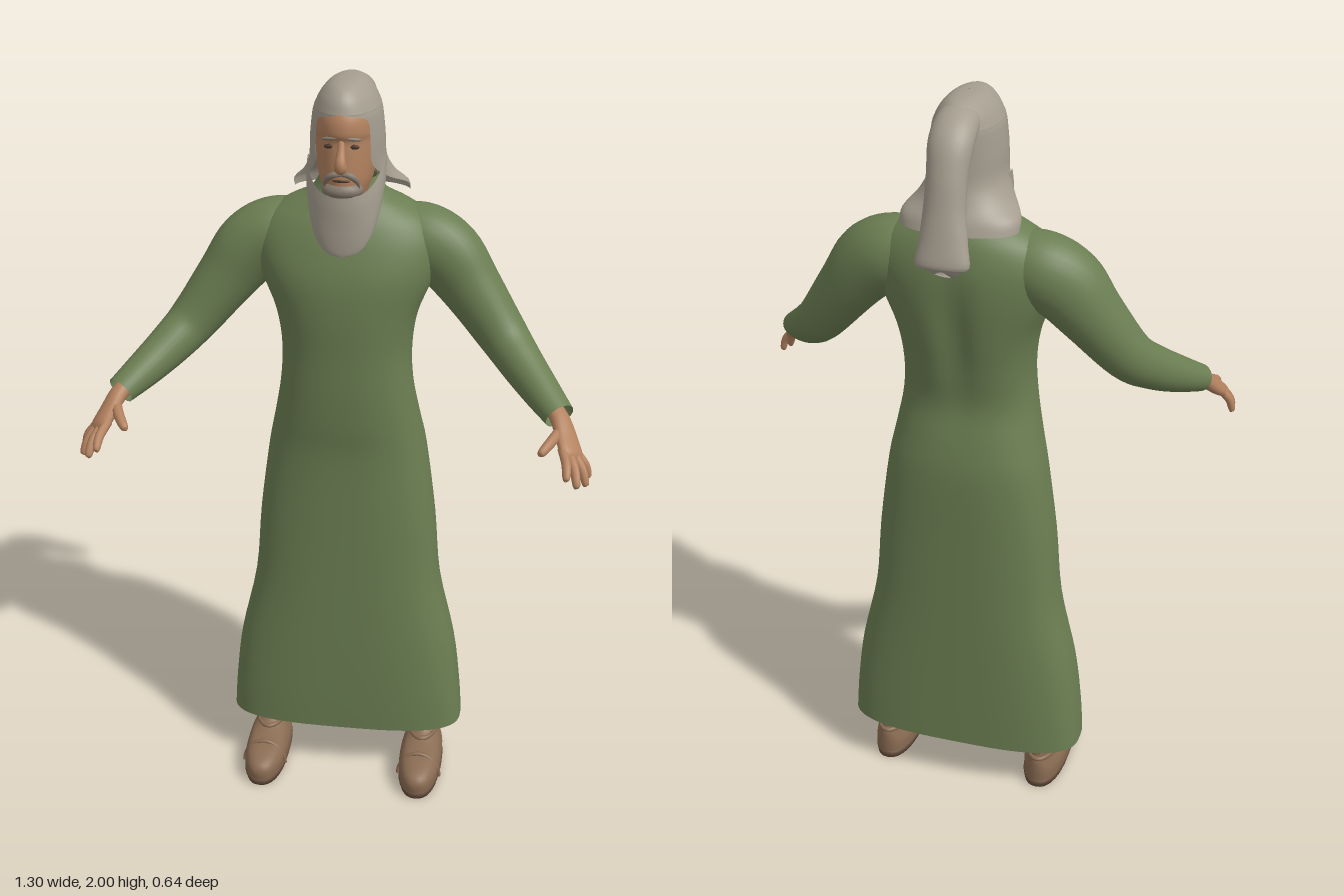
import * as THREE from 'three';

const V = (x, y, z) => new THREE.Vector3(x, y, z);
const paint = (name, color, side = THREE.FrontSide) => {
  const m = new THREE.MeshStandardMaterial({ color, side });
  m.name = name;
  return m;
};

// Smoothly subdivide a list of equal-length number rows (Catmull-Rom)
function smooth(rows, sub) {
  const out = [], last = rows.length - 1;
  for (let i = 0; i < last; i++) {
    const [a, b, c, d] = [rows[Math.max(i - 1, 0)], rows[i], rows[i + 1], rows[Math.min(i + 2, last)]];
    for (let k = 0; k < sub; k++) {
      const t = k / sub;
      out.push(b.map((v, q) => v + 0.5 * t * (c[q] - a[q]
        + t * (2 * a[q] - 5 * v + 4 * c[q] - d[q] + t * (3 * (v - c[q]) + d[q] - a[q])))));
    }
  }
  out.push(rows[last]);
  return out;
}

// Skin a list of point rings
function skinRings(rings, closed) {
  const n = rings[0].length, pos = [], index = [];
  rings.forEach((r) => r.forEach((p) => pos.push(p.x, p.y, p.z)));
  for (let i = 0; i < rings.length - 1; i++) {
    for (let j = 0; j < (closed ? n : n - 1); j++) {
      const a = i * n + j, b = i * n + (j + 1) % n, c = a + n, d = b + n;
      index.push(a, b, c, b, d, c);
    }
  }
  const g = new THREE.BufferGeometry();
  g.setAttribute('position', new THREE.Float32BufferAttribute(pos, 3));
  g.setIndex(index);
  g.computeVertexNormals();
  return g;
}

// Horizontal rings, rising: [y, half width, front z, back z, exponent, half arc]
function loft(rows, { n = 48, sub = 4, mid = 0, tweak = null } = {}) {
  const full = rows.map(([y, rx, zf, zb, e = 2, w = Math.PI]) => [y, rx, zf, zb, e, w]);
  const closed = full.every((r) => r[5] === Math.PI);
  const bend = (v, e) => Math.sign(v) * Math.abs(v) ** (2 / e);
  const rings = smooth(full, sub).map(([y, rx, zf, zb, e, w]) => {
    const ring = [];
    for (let j = 0; j < (closed ? n : n + 1); j++) {
      const a = mid - w + (2 * w * j) / n;
      const p = V(rx * bend(Math.sin(a), e), y, (zf + zb) / 2 + ((zf - zb) / 2) * bend(Math.cos(a), e));
      if (tweak) tweak(p);
      ring.push(p);
    }
    return ring;
  });
  return skinRings(rings, closed);
}

// Oval tube along a path: [x, y, z, radius across, radius along up]
function sweep(path, up, { n = 16, sub = 5, s = 1 } = {}) {
  const rows = smooth(path.map(([x, y, z, a, b = a]) => [x * s, y, z, a, b]), sub);
  const at = (i) => V(...rows[Math.min(Math.max(i, 0), rows.length - 1)].slice(0, 3));
  const rings = rows.map(([x, y, z, a, b], i) => {
    const t = at(i + 1).sub(at(i - 1)).normalize();
    const side = V(up.x * s, up.y, up.z).cross(t).normalize();
    const lift = t.clone().cross(side);
    return Array.from({ length: n }, (_, j) => {
      const q = (j / n) * Math.PI * 2;
      return V(x, y, z).addScaledVector(side, a * Math.cos(q)).addScaledVector(lift, b * Math.sin(q));
    });
  });
  return skinRings(rings, true);
}

export function createModel() {
  const root = new THREE.Group();
  const green = paint('robe green', 0x6b7e52, THREE.DoubleSide);
  const cloth = paint('pale grey cloth', 0xa59d8f, THREE.DoubleSide);
  const skin = paint('skin', 0xb3825f);
  const leather = paint('brown leather', 0x8a6c53);
  const sole = paint('dark sole', 0x6a503d);
  const grey = paint('beard grey', 0x85796c);
  const dark = paint('dark brown', 0x4b372c);
  const add = (name, geometry, material, parent = root) => {
    const m = new THREE.Mesh(geometry, material);
    m.name = name;
    parent.add(m);
    return m;
  };
  const blob = (name, material, p, r, parent = root) => {
    const m = add(name, new THREE.SphereGeometry(1, 20, 14), material, parent);
    m.position.set(...p);
    m.scale.set(...r);
    return m;
  };

  // Long robe, open at the hem, with a shallow groove down the back
  add('robe', loft([
    [0.145, 0.33, 0.055, -0.2, 3], [0.25, 0.322, 0.058, -0.2, 3], [0.4, 0.303, 0.06, -0.2, 2.8],
    [0.6, 0.258, 0.06, -0.2, 2.7], [0.8, 0.24, 0.06, -0.2, 2.6], [1.0, 0.213, 0.062, -0.2, 2.5],
    [1.1, 0.193, 0.073, -0.188, 2.4], [1.2, 0.175, 0.08, -0.17, 2.4], [1.3, 0.17, 0.083, -0.183, 2.4],
    [1.4, 0.185, 0.087, -0.2, 2.4], [1.5, 0.225, 0.083, -0.21, 2.3], [1.58, 0.24, 0.062, -0.21, 2.2],
    [1.64, 0.215, 0.038, -0.198, 2.1], [1.68, 0.16, 0.015, -0.18, 2], [1.71, 0.1, -0.002, -0.155, 2],
    [1.75, 0.072, -0.01, -0.13, 2],
  ], {
    n: 72,
    tweak: (p) => {
      if (p.z < -0.1) p.z += 0.018 * Math.exp(-((p.x / 0.04) ** 2) - ((p.y - 1.42) / 0.16) ** 2);
    },
  }), green);

  // Sleeves, hands and shoes
  for (const s of [1, -1]) {
    const label = s > 0 ? 'left' : 'right';
    add(label + 'Sleeve', sweep([
      [0.12, 1.595, -0.095, 0.07, 0.08], [0.19, 1.58, -0.09, 0.088, 0.095], [0.255, 1.54, -0.082, 0.085, 0.097],
      [0.32, 1.46, -0.068, 0.075, 0.082], [0.405, 1.35, -0.035, 0.064, 0.066], [0.46, 1.295, 0.022, 0.056, 0.058],
      [0.515, 1.25, 0.09, 0.048, 0.048], [0.563, 1.215, 0.152, 0.04, 0.036],
    ], V(0, 1, 0.2), { n: 28, s }), green);

    const hand = new THREE.Group();
    hand.name = label + 'Hand';
    root.add(hand);
    const palmUp = V(0.65, 0.7, 0.3);
    add('palm', sweep([
      [0.54, 1.235, 0.125, 0.024, 0.022], [0.566, 1.21, 0.165, 0.028, 0.022], [0.583, 1.18, 0.2, 0.035, 0.02],
      [0.597, 1.155, 0.236, 0.038, 0.017], [0.602, 1.145, 0.25, 0.03, 0.009], [0.603, 1.143, 0.252, 0.001],
    ], palmUp, { s }), skin, hand);
    const fingers = [
      ['indexFinger', [0.576, 1.163, 0.25], [0.588, 1.118, 0.32], 0.012],
      ['middleFinger', [0.591, 1.153, 0.243], [0.615, 1.092, 0.305], 0.0125],
      ['ringFinger', [0.606, 1.146, 0.236], [0.638, 1.082, 0.27], 0.012],
      ['littleFinger', [0.618, 1.14, 0.222], [0.643, 1.087, 0.228], 0.011],
      ['thumb', [0.565, 1.192, 0.19], [0.52, 1.165, 0.28], 0.014],
    ];
    for (const [name, a, b, r] of fingers) {
      const mix = (t, lift) => a.map((v, k) => v + (b[k] - v) * t + lift * [0.6, 0.7, 0.3][k]);
      add(name, sweep([
        [...mix(-0.1, 0), r], [...mix(0.45, 0.008), r], [...mix(0.85, 0.004), r * 0.85],
        [...mix(0.97, 0), r * 0.55], [...mix(1, 0), 0.0005],
      ], palmUp, { n: 10, sub: 3, s }), skin, hand);
    }

    const shoe = new THREE.Group();
    shoe.name = label + 'Shoe';
    shoe.position.x = 0.224 * s;
    root.add(shoe);
    add('shoeUpper', loft([
      [0.016, 0.058, 0.166, -0.155, 2.4], [0.045, 0.06, 0.168, -0.156, 2.4], [0.066, 0.055, 0.152, -0.156, 2.3],
      [0.08, 0.048, 0.11, -0.155, 2.2], [0.092, 0.042, 0.035, -0.152, 2.1], [0.11, 0.038, -0.01, -0.15, 2],
      [0.14, 0.037, -0.025, -0.148, 2], [0.2, 0.04, -0.022, -0.15, 2], [0.36, 0.046, -0.015, -0.155, 2],
      [0.365, 0.001, -0.08, -0.082, 2],
    ], { n: 36 }), leather, shoe);
    add('shoeSole', loft([
      [0, 0.001, 0.004, 0, 2.4], [0, 0.057, 0.166, -0.158, 2.4], [0.016, 0.061, 0.172, -0.16, 2.4],
      [0.019, 0.056, 0.165, -0.155, 2.4],
    ], { n: 36, sub: 1 }), sole, shoe);
    // Ankle straps and the strap over the toes
    for (const [y, rx, z, rz] of [[0.1, 0.041, -0.07, 0.084], [0.125, 0.039, -0.084, 0.067]]) {
      const strap = add('ankleStrap', new THREE.TorusGeometry(1, 0.09, 8, 32), leather, shoe);
      strap.rotation.x = Math.PI / 2;
      strap.position.set(0, y, z);
      strap.scale.set(rx, rz, 0.07);
    }
    const toe = add('toeStrap', new THREE.TorusGeometry(1, 0.07, 8, 28, Math.PI), leather, shoe);
    toe.position.set(0, 0.02, 0.075);
    toe.scale.set(0.06, 0.069, 0.1);
  }

  // Head and neck
  const head = new THREE.Group();
  head.name = 'head';
  root.add(head);
  add('face', loft([
    [1.64, 0.055, -0.01, -0.12], [1.695, 0.055, 0.03, -0.12], [1.725, 0.056, 0.06, -0.13],
    [1.76, 0.067, 0.07, -0.14], [1.8, 0.074, 0.069, -0.15], [1.84, 0.078, 0.066, -0.16],
    [1.865, 0.079, 0.064, -0.16], [1.885, 0.079, 0.071, -0.16], [1.92, 0.076, 0.066, -0.16],
    [1.95, 0.06, 0.045, -0.14], [1.97, 0.03, 0, -0.1],
  ]), skin, head);
  add('nose', sweep([
    [0, 1.872, 0.056, 0.008], [0, 1.845, 0.068, 0.01], [0, 1.818, 0.08, 0.014],
    [0, 1.804, 0.076, 0.016], [0, 1.797, 0.066, 0.006],
  ], V(0, 0, 1), { n: 12 }), skin, head);
  for (const s of [1, -1]) {
    blob('eye', dark, [0.03 * s, 1.854, 0.0555], [0.014, 0.006, 0.005], head);
    const brow = blob('eyebrow', grey, [0.031 * s, 1.874, 0.06], [0.02, 0.0045, 0.005], head);
    brow.rotation.set(0, 0.35 * s, -0.12 * s);
    add('moustache', sweep([
      [0, 1.788, 0.071, 0.004], [0.02, 1.786, 0.07, 0.008], [0.037, 1.772, 0.062, 0.007], [0.044, 1.752, 0.055, 0.001],
    ], V(0, 0, 1), { n: 10, s }), grey, head);
  }
  blob('mouth', dark, [0, 1.771, 0.068], [0.022, 0.004, 0.005], head);
  blob('chinBeard', grey, [0, 1.742, 0.04], [0.052, 0.026, 0.039], head);

  // Long beard hanging over the chest, curving up beside the cheeks
  add('beard', loft([
    [1.572, 0.022, 0.064, 0.036, 2, 1.7], [1.585, 0.05, 0.067, 0.026, 2, 1.7], [1.62, 0.071, 0.07, 0, 2, 1.7],
    [1.66, 0.088, 0.072, -0.05, 2, 1.7], [1.7, 0.099, 0.074, -0.12, 2, 1.7], [1.732, 0.099, 0.073, -0.16, 2, 1.7],
  ], {
    tweak: (p) => { p.y += 0.07 * Math.min(1, (p.x / 0.098) ** 4) * Math.max(0, (p.y - 1.62) / 0.112); },
  }), cloth, head);

  // Head cloth, open around the face and spreading over the shoulders
  add('headCloth', loft([
    [1.69, 0.15, -0.06, -0.215, 2.2, 1.5], [1.72, 0.147, -0.04, -0.205, 2.2, 1.65], [1.755, 0.117, 0.02, -0.19, 2.1, 2.0],
    [1.8, 0.097, 0.06, -0.18, 2, 2.3], [1.86, 0.093, 0.07, -0.18, 2, 2.33], [1.915, 0.087, 0.074, -0.185, 2, 2.36],
    [1.932, 0.083, 0.073, -0.187, 2, 2.9], [1.938, 0.081, 0.072, -0.187, 2, 3.1415], [1.965, 0.067, 0.062, -0.182, 2, 3.1415],
    [1.988, 0.046, 0.038, -0.16, 2, 3.1415], [1.998, 0.024, 0, -0.12, 2, 3.1415], [2.0, 0.001, -0.05, -0.06, 2, 3.1415],
  ], { n: 64, mid: Math.PI }), cloth, head);

  // Loose tail of the head cloth, falling behind
  add('headClothTail', sweep([
    [0, 1.955, -0.08, 0.045, 0.036], [0, 1.95, -0.15, 0.054, 0.04], [0, 1.915, -0.205, 0.055, 0.042],
    [0, 1.85, -0.235, 0.05, 0.04], [0, 1.77, -0.257, 0.052, 0.036], [-0.003, 1.7, -0.279, 0.06, 0.03],
    [-0.004, 1.642, -0.295, 0.064, 0.025], [-0.004, 1.64, -0.296, 0.002],
  ], V(0, 0.6, -1), { n: 28 }), cloth, head);

  return root;
}
